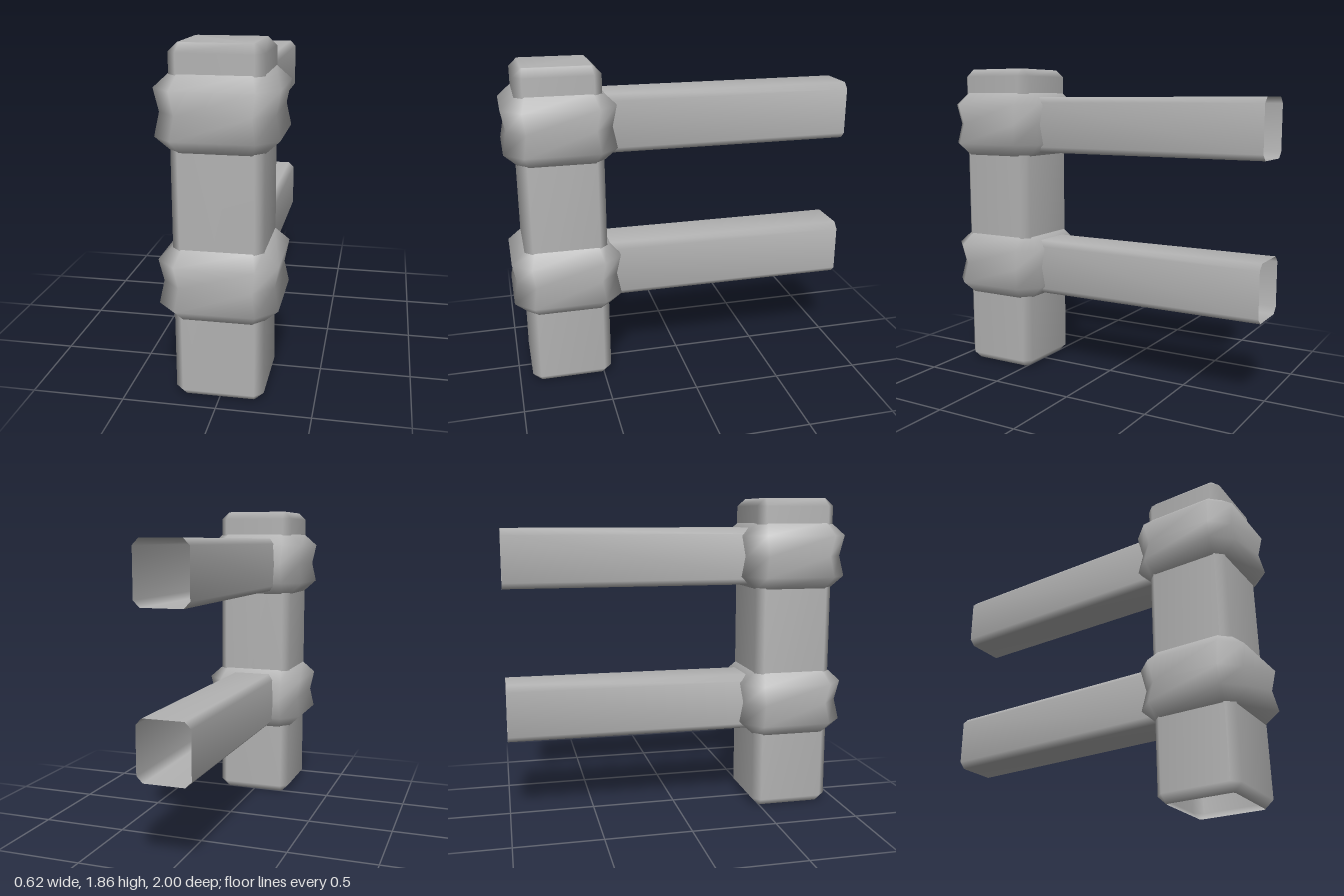
import * as THREE from 'three';

// Corner-cut rectangle, listed counter-clockwise seen from +y
function octagon(hx, hz, c) {
  return [
    [hx - c, hz], [hx, hz - c], [hx, c - hz], [hx - c, -hz],
    [c - hx, -hz], [-hx, c - hz], [-hx, hz - c], [c - hx, hz],
  ];
}

// Smooth skin through rings of [y, halfX, halfZ, cornerCut], optionally capped on top
function loft(rings, capTop = false) {
  const positions = [], index = [];
  rings.forEach(([y, hx, hz, c]) => octagon(hx, hz, c).forEach(([x, z]) => positions.push(x, y, z)));
  for (let j = 0; j < rings.length - 1; j++) {
    for (let i = 0; i < 8; i++) {
      const a = j * 8 + i, b = j * 8 + (i + 1) % 8;
      index.push(a, b, b + 8, a, b + 8, a + 8);
    }
  }
  if (capTop) {
    const s = (rings.length - 1) * 8;
    for (let i = 1; i < 7; i++) index.push(s, s + i, s + i + 1);
  }
  const geometry = new THREE.BufferGeometry();
  geometry.setAttribute('position', new THREE.Float32BufferAttribute(positions, 3));
  geometry.setIndex(index);
  geometry.computeVertexNormals();
  return geometry;
}

export function createModel() {
  const model = new THREE.Group();
  model.name = 'fencePost';
  const grey = new THREE.MeshStandardMaterial({ color: 0xb3b3b3, side: THREE.DoubleSide });
  grey.name = 'plain grey';
  const postZ = 0.69;

  const add = (name, geometry, y, z) => {
    const mesh = new THREE.Mesh(geometry, grey);
    mesh.name = name;
    mesh.position.set(0, y, z);
    model.add(mesh);
  };

  // Hollow upright with bevelled ends, open underneath
  add('post', loft([
    [0, 0.19, 0.19, 0.01],
    [0.045, 0.235, 0.235, 0.045],
    [1.815, 0.235, 0.235, 0.045],
    [1.86, 0.19, 0.19, 0.01],
  ], true), 0, postZ);

  // Pinched collar around the post
  const collar = loft([
    [-0.195, 0.23, 0.23, 0.05],
    [-0.12, 0.31, 0.31, 0.105],
    [0, 0.287, 0.287, 0.1],
    [0.12, 0.31, 0.31, 0.105],
    [0.195, 0.23, 0.23, 0.05],
  ]);

  // Hollow rail running back from the collar, open at its far end
  const rail = loft([[-0.46, 0.15, 0.167, 0.035], [1, 0.15, 0.167, 0.035]]);
  rail.rotateX(-Math.PI / 2);

  [['lower', 0.645], ['upper', 1.525]].forEach(([level, y]) => {
    add(level + 'Collar', collar, y, postZ);
    add(level + 'Rail', rail, y - 0.002, 0);
  });

  return model;
}
